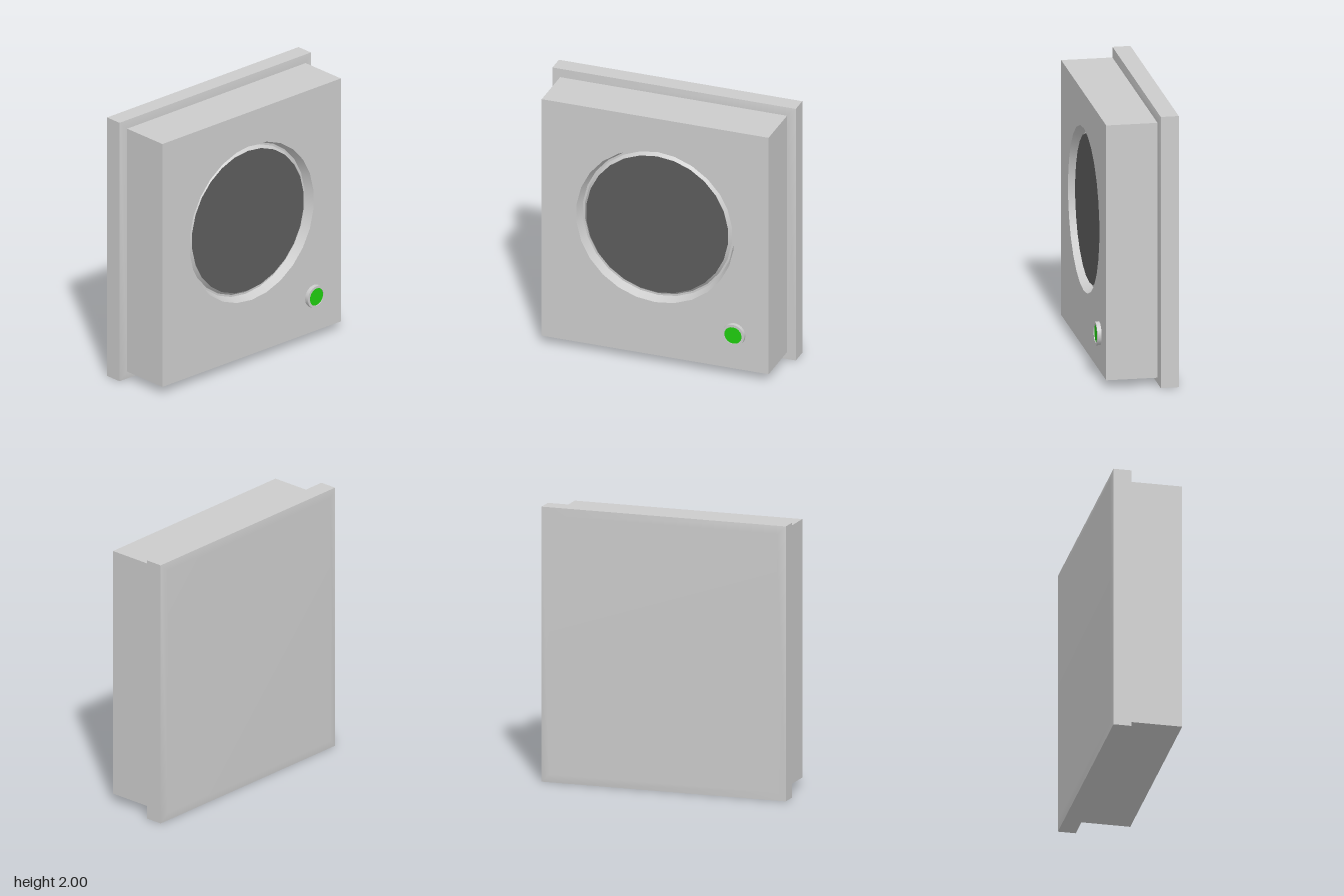
import * as THREE from 'three';

const SIDES = 26;

export function createModel() {
  const casing = new THREE.MeshStandardMaterial({ name: 'light grey casing', color: 0xcccccc });
  const dark = new THREE.MeshStandardMaterial({ name: 'dark grey disc', color: 0x5c5c5c });
  const green = new THREE.MeshStandardMaterial({ name: 'green lamp', color: 0x1fcc0f });

  const model = new THREE.Group();
  const add = (name, geometry, material, parent = model) => {
    const mesh = new THREE.Mesh(geometry, material);
    mesh.name = name;
    parent.add(mesh);
    return mesh;
  };

  // One turned ring facing +z, between two [radius, z] points; separate rings keep edges sharp
  const ring = (a, b) => new THREE.LatheGeometry(
    [new THREE.Vector2(...a), new THREE.Vector2(...b)], SIDES).rotateX(Math.PI / 2);
  const turned = (name, profile, x, y, faceMaterial) => {
    const group = new THREE.Group();
    group.name = name;
    group.position.set(x, y, 0);
    for (let i = 0; i < profile.length - 1; i++) {
      const last = i === profile.length - 2;
      add(last ? name + 'Face' : name + 'Ring', ring(profile[i], profile[i + 1]),
        last ? faceMaterial : casing, group);
    }
    model.add(group);
  };

  // Front housing with a round opening
  const front = new THREE.Shape([[-0.86, 0.06], [0.86, 0.06], [0.86, 1.94], [-0.86, 1.94]]
    .map(p => new THREE.Vector2(...p)));
  const hole = [];
  for (let i = 0; i < SIDES; i++) {
    const t = -i / SIDES * Math.PI * 2;
    hole.push(new THREE.Vector2(0.6 * Math.sin(t), 1.08 - 0.6 * Math.cos(t)));
  }
  front.holes.push(new THREE.Path(hole));
  add('housing', new THREE.ExtrudeGeometry(front, { depth: 0.37, bevelEnabled: false })
    .translate(0, 0, -0.123), casing);

  // Sunken disc with sloped wall, flat groove and raised bevel
  turned('disc', [[0.6, 0.247], [0.575, 0.18], [0.56, 0.18], [0.54, 0.207], [0, 0.207]], 0, 1.08, dark);

  // Round indicator lamp
  turned('lamp', [[0.085, 0.247], [0.085, 0.277], [0.066, 0.277], [0.066, 0.271], [0, 0.271]],
    0.6, 0.335, green);

  // Back plate: square edge band with a shallow pillowed face on both sides
  const plate = new THREE.Group();
  plate.name = 'backPlate';
  plate.position.set(0, 1, -0.2);
  model.add(plate);
  add('plateEdge', new THREE.BoxGeometry(1.845, 2, 0.13), casing, plate);
  const corners = (x, y, z) => [-x, -y, z, x, -y, z, x, y, z, -x, y, z];
  const index = [4, 5, 6, 4, 6, 7];
  for (let i = 0; i < 4; i++) {
    const j = (i + 1) % 4;
    index.push(i, j, j + 4, i, j + 4, i + 4);
  }
  const pillow = new THREE.BufferGeometry();
  pillow.setAttribute('position', new THREE.Float32BufferAttribute(
    [...corners(0.9225, 1, 0.065), ...corners(0.86, 0.94, 0.077)], 3));
  pillow.setIndex(index);
  pillow.computeVertexNormals();
  add('plateFront', pillow, casing, plate);
  add('plateBack', pillow, casing, plate).rotation.y = Math.PI;

  return model;
}
